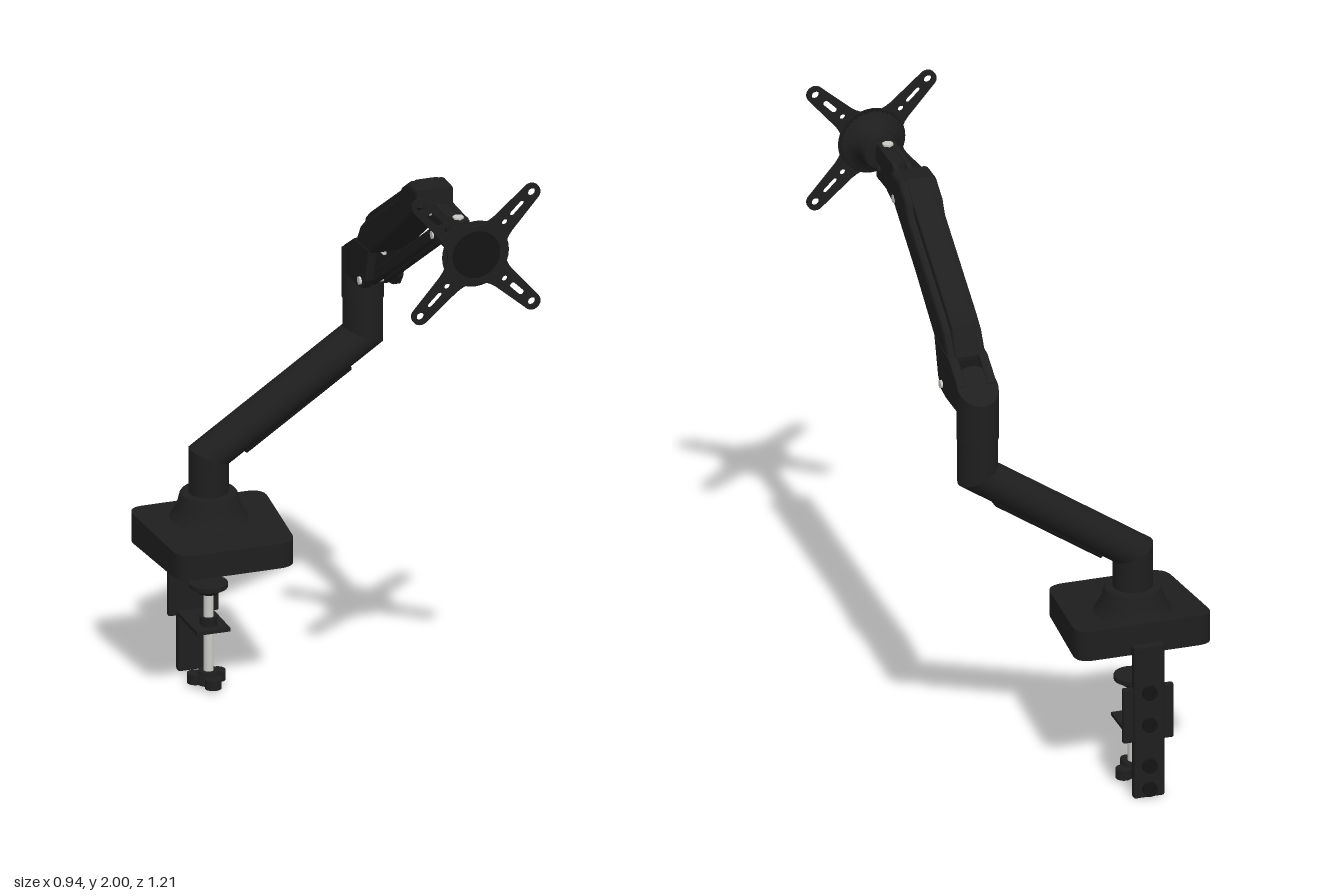
import * as THREE from 'three';
import { mergeGeometries } from 'three/addons/utils/BufferGeometryUtils.js';
import { RoundedBoxGeometry } from 'three/addons/geometries/RoundedBoxGeometry.js';

const mat = (name, color, side = THREE.FrontSide) => {
  const m = new THREE.MeshStandardMaterial({ color, side });
  m.name = name;
  return m;
};

// Axes shared by the two posts
const AX = 0.257, BX = -0.25, CZ = -0.432, HY = 1.79;

export function createModel() {
  const root = new THREE.Group();
  const black = mat('satin black', 0x1e1e1f);
  const dark = mat('deep black', 0x141415);
  const steel = mat('bright steel', 0xc9c9c4);

  const add = (name, geo, m, x = 0, y = 0, z = 0) => {
    const mesh = new THREE.Mesh(geo, m);
    mesh.name = name;
    mesh.position.set(x, y, z);
    root.add(mesh);
    return mesh;
  };
  const box = (name, w, h, d, m, x, y, z, r = 0) =>
    add(name, r ? new RoundedBoxGeometry(w, h, d, 2, r) : new THREE.BoxGeometry(w, h, d), m, x, y, z);
  const cyl = (name, r, h, m, x, y, z, axis = 'y', r2 = r, n = 24) => {
    const g = new THREE.CylinderGeometry(r, r2, h, n);
    if (axis === 'x') g.rotateZ(-Math.PI / 2);
    if (axis === 'z') g.rotateX(Math.PI / 2);
    return add(name, g, m, x, y, z);
  };

  // Side profile in (z, y), extruded symmetrically along x
  const profile = (name, pts, width, m, x, bevel = 0) => {
    const shape = new THREE.Shape(pts.map(([z, y]) => new THREE.Vector2(z, y)));
    const depth = width - 2 * bevel;
    const g = new THREE.ExtrudeGeometry(shape, {
      depth, bevelEnabled: bevel > 0, bevelSize: bevel, bevelOffset: -bevel, bevelThickness: bevel, bevelSegments: 2,
    });
    g.translate(0, 0, -depth / 2).rotateY(-Math.PI / 2);
    return add(name, g, m, x);
  };

  // Tube through tilted rings [x, y, radius, slopeX, slopeZ], with sharp joins between spans
  const ringTube = (rings, n = 32) => mergeGeometries(rings.slice(1).map((hi, k) => {
    const pos = [], idx = [];
    for (const [cx, cy, r, sx = 0, sz = 0] of [rings[k], hi]) {
      for (let i = 0; i < n; i++) {
        const a = (i / n) * Math.PI * 2, dx = r * Math.cos(a), dz = r * Math.sin(a);
        pos.push(cx + dx, cy + sx * dx + sz * dz, CZ + dz);
      }
    }
    for (let i = 0; i < n; i++) {
      const j = (i + 1) % n;
      idx.push(i, i + n, j, j, i + n, j + n);
    }
    const g = new THREE.BufferGeometry();
    g.setAttribute('position', new THREE.Float32BufferAttribute(pos, 3));
    g.setIndex(idx);
    g.computeVertexNormals();
    return g;
  }));

  // Base: rounded trapezoid with a top that falls slightly to the front
  const corners = [[-0.44, 0.168], [-0.055, 0.168], [-0.025, 0.56], [-0.475, 0.56]].map((p) => new THREE.Vector2(...p));
  const plan = new THREE.Shape();
  corners.forEach((c, i) => {
    const toward = (q) => q.clone().sub(c).setLength(0.055).add(c);
    const a = toward(corners[(i + 3) % 4]), b = toward(corners[(i + 1) % 4]);
    if (i) plan.lineTo(a.x, a.y); else plan.moveTo(a.x, a.y);
    plan.quadraticCurveTo(c.x, c.y, b.x, b.y);
  });
  plan.closePath();
  const baseGeo = new THREE.ExtrudeGeometry(plan, { depth: 0.1, bevelEnabled: false, curveSegments: 8 });
  baseGeo.rotateX(-Math.PI / 2);
  const bp = baseGeo.attributes.position;
  for (let i = 0; i < bp.count; i++) {
    if (bp.getY(i) > 0.05) bp.setY(i, 0.1 - 0.045 * (bp.getZ(i) + 0.56));
  }
  baseGeo.computeVertexNormals();
  add('base', baseGeo, black, 0, 0.48, 0);

  // Collar on the base
  const collar = [[0.125, 0.57], [0.115, 0.585], [0.1, 0.61], [0.09, 0.65], [0.084, 0.657], [0.05, 0.657]];
  add('baseCollar', new THREE.LatheGeometry(collar.map((p) => new THREE.Vector2(...p)), 40), black, BX, 0, CZ);

  // Mitred lower arm, from the base post to the elbow post
  add('lowerArm', ringTube([
    [BX, 0.65, 0.063], [BX, 0.776, 0.063, -0.45], [AX, 1.116, 0.063, -0.45], [AX, 1.24, 0.063],
  ]), black);
  const tilt = Math.atan2(0.34, 0.507);
  const cover = box('cableCover', 0.42, 0.02, 0.07, dark,
    0.0035 + 0.052 * Math.sin(tilt), 0.946 - 0.052 * Math.cos(tilt), CZ, 0.006);
  cover.rotation.z = tilt;

  // Elbow: swivel post with a sloping top, and a fork towards the front
  add('elbowPost', ringTube([
    [AX, 1.24, 0.06], [AX, 1.24, 0.066], [AX, 1.415, 0.066, 0, 0.6], [AX, 1.415, 0],
  ]), black);
  const cheek = [[-0.2, 1.495], [-0.34, 1.478], [-0.43, 1.42], [-0.43, 1.33], [-0.31, 1.33], [-0.26, 1.34], [-0.235, 1.375]];
  for (const s of [-1, 1]) profile('elbowCheek', cheek, 0.03, black, AX + s * 0.049, 0.004);
  profile('elbowCore', [[-0.32, 1.47], [-0.43, 1.41], [-0.43, 1.33], [-0.32, 1.33]], 0.08, dark, AX);
  for (const s of [-1, 1]) {
    for (const y of [1.36, 1.43]) cyl('elbowBolt', 0.01, 0.012, steel, AX + s * 0.028, y, -0.316, 'z');
  }

  // Upper arm: raised spine between lower side shells, with a full-width nose
  const under = [[-0.336, 1.46], [-0.25, 1.46], [-0.19, 1.485], [0.19, 1.765], [0.235, 1.805]];
  profile('upperArmSpine', [[0.23, 1.862], [0.15, 1.865], [-0.257, 1.596], [-0.297, 1.563], [-0.338, 1.475], ...under],
    0.08, black, AX, 0.006);
  profile('upperArmShell', [[0.23, 1.862], [0.15, 1.862], [0.085, 1.818], [0.06, 1.775], [-0.25, 1.572],
    [-0.29, 1.54], [-0.334, 1.471], ...under], 0.124, black, AX, 0.012);

  // Parallel link below the upper arm
  const link = new THREE.Vector2(0.29 + 0.275, 1.74 - 1.365);
  for (const s of [-1, 1]) {
    const rod = box('parallelLink', 0.022, 0.042, link.length() + 0.03, black, AX + s * 0.02, 1.5525, 0.0075, 0.008);
    rod.rotation.x = -Math.atan2(link.y, link.x);
  }
  for (const [z, y, w] of [[-0.275, 1.362, 0.142], [0.29, 1.735, 0.07], [0.272, 1.806, 0.07]]) {
    cyl('pivotPin', 0.013, w, steel, AX, y, z, 'x');
  }

  // Wrist block: two cheeks at the back joined to a notched front
  const wrist = [[0.465, 1.845], [0.31, 1.845], [0.26, 1.81], [0.2, 1.8], [0.2, 1.77], [0.26, 1.775], [0.285, 1.725],
    [0.32, 1.718], [0.37, 1.732], [0.465, 1.732], [0.465, 1.762], [0.425, 1.762], [0.425, 1.815], [0.465, 1.815]];
  for (const s of [-1, 1]) profile('wristCheek', wrist, 0.018, black, AX + s * 0.021, 0.003);
  profile('wristCore', [[0.44, 1.842], [0.31, 1.842], [0.3, 1.735], [0.37, 1.735], [0.44, 1.735], [0.44, 1.762],
    [0.42, 1.762], [0.42, 1.815], [0.44, 1.815]], 0.03, black, AX);
  for (const y of [1.831, 1.747]) cyl('wristEye', 0.03, 0.03, black, AX, y, 0.445);
  cyl('wristPin', 0.011, 0.1, steel, AX, HY, 0.44);
  cyl('wristScrew', 0.018, 0.008, steel, AX, 1.848, 0.44, 'y', 0.018, 6);
  box('wristNeck', 0.04, 0.056, 0.1, black, AX, HY, 0.47, 0.012);

  // Swivel hub behind the mounting plate
  const hub = [[0.001, 0.5], [0.05, 0.5], [0.058, 0.508], [0.058, 0.555], [0.07, 0.56], [0.072, 0.582],
    [0.1, 0.586], [0.11, 0.598], [0.001, 0.598]];
  const hubGeo = new THREE.LatheGeometry(hub.map((p) => new THREE.Vector2(...p)), 36);
  hubGeo.rotateX(Math.PI / 2);
  add('swivelHub', hubGeo, black, AX, HY, 0);
  cyl('hubFace', 0.078, 0.008, dark, AX, HY, 0.604, 'z', 0.078, 36);

  // Four-armed mounting plate with round holes and slots
  const plate = new THREE.Shape();
  const at = (a, r, off = 0) => [r * Math.cos(a) - off * Math.sin(a), r * Math.sin(a) + off * Math.cos(a)];
  for (let k = 0; k < 4; k++) {
    const a = Math.PI / 4 + (k * Math.PI) / 2, next = a + Math.PI / 2;
    if (!k) plate.moveTo(...at(a, 0.15, -0.036));
    plate.lineTo(...at(a, 0.259, -0.028));
    plate.absarc(...at(a, 0.259), 0.028, a - Math.PI / 2, a + Math.PI / 2, false);
    plate.lineTo(...at(a, 0.15, 0.036));
    plate.quadraticCurveTo(...at(a + Math.PI / 4, 0.055), ...at(next, 0.15, -0.036));
    for (const [r, size] of [[0.259, 0.013], [0.134, 0.01]]) {
      plate.holes.push(new THREE.Path().absarc(...at(a, r), size, 0, Math.PI * 2, true));
    }
    const slot = new THREE.Path();
    slot.absarc(...at(a, 0.212), 0.009, a + Math.PI / 2, a - Math.PI / 2, true);
    slot.absarc(...at(a, 0.17), 0.009, a - Math.PI / 2, a - Math.PI * 1.5, true);
    slot.closePath();
    plate.holes.push(slot);
  }
  add('mountingPlate', new THREE.ExtrudeGeometry(plate, { depth: 0.011, bevelEnabled: false, curveSegments: 10 }),
    black, AX, HY, 0.595);

  // Clamp: rail behind the base, sliding bracket and shelf
  box('clampRail', 0.1, 0.52, 0.026, black, BX, 0.26, -0.581, 0.006);
  box('railHook', 0.1, 0.03, 0.04, black, BX, 0.495, -0.567, 0.006);
  box('clampBracket', 0.165, 0.185, 0.02, black, BX, 0.283, -0.576, 0.005);
  box('clampShelf', 0.11, 0.012, 0.185, black, BX, 0.2, -0.478);
  for (const y of [0.03, 0.11, 0.25, 0.36]) cyl('railButton', 0.024, 0.014, dark, BX, y, -0.598, 'z');
  cyl('clampNut', 0.028, 0.042, black, BX, 0.215, CZ, 'y', 0.028, 6);

  // Clamp screw with pressure pad and lobed knob
  cyl('clampScrew', 0.016, 0.3, steel, BX, 0.18, CZ);
  cyl('pressurePad', 0.06, 0.014, black, BX, 0.342, CZ);
  cyl('pressurePadCone', 0.056, 0.02, black, BX, 0.325, CZ, 'y', 0.03);
  cyl('knobHub', 0.032, 0.042, black, BX, 0.034, CZ, 'y', 0.04);
  for (let k = 0; k < 3; k++) {
    const a = Math.PI / 2 + (k * Math.PI * 2) / 3;
    cyl('knobLobe', 0.026, 0.032, black, BX + 0.042 * Math.cos(a), 0.026, CZ + 0.042 * Math.sin(a));
  }
  return root;
}
